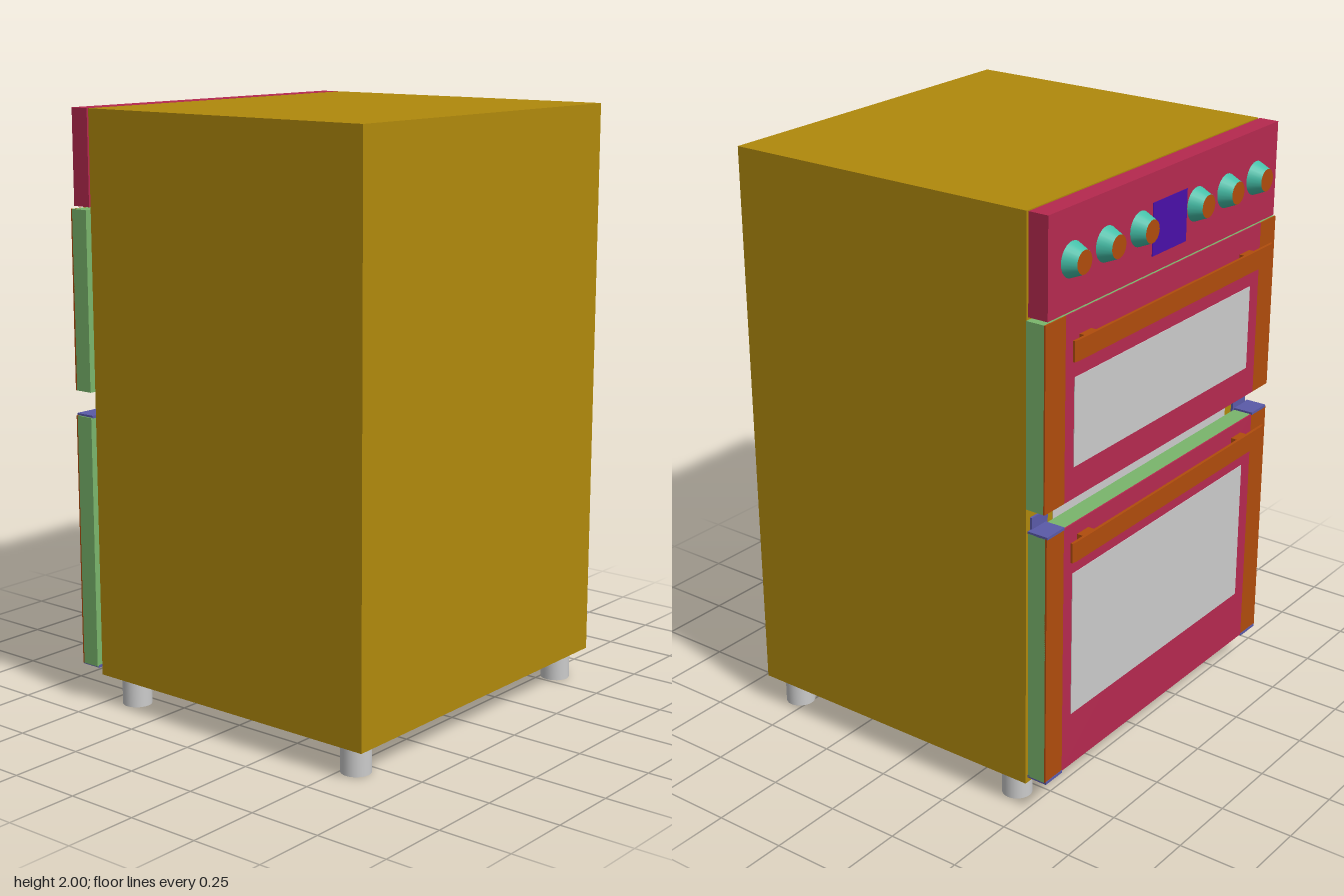
import * as THREE from 'three';

const mat = (color) => new THREE.MeshStandardMaterial({ color });
const M = {
  grey: mat(0xcccccc), body: mat(0xb0890c), crimson: mat(0xb5294f), green: mat(0x7ab56c),
  brown: mat(0xb04c0c), teal: mat(0x45bfa8), violet: mat(0x4a10a8), blue: mat(0x5a5aa8),
};

// Box given by its limits on each axis
function box(parent, name, material, [x0, x1], [y0, y1], [z0, z1]) {
  const mesh = new THREE.Mesh(new THREE.BoxGeometry(x1 - x0, y1 - y0, z1 - z0), material);
  mesh.position.set((x0 + x1) / 2, (y0 + y1) / 2, (z0 + z1) / 2);
  mesh.name = name;
  parent.add(mesh);
  return mesh;
}

function group(parent, name) {
  const g = new THREE.Group();
  g.name = name;
  parent.add(g);
  return g;
}

// Flat bar on two posts, standing off the door
function handle(parent, y) {
  const g = group(parent, 'handle');
  const outline = new THREE.Shape([
    [-0.61, -0.557], [-0.617, -0.557], [-0.62, -0.54], [-0.62, 0.55], [-0.617, 0.567], [-0.61, 0.567],
  ].map(([x, z]) => new THREE.Vector2(x, -z)));
  const geo = new THREE.ExtrudeGeometry(outline, { depth: 0.066, bevelEnabled: false });
  geo.rotateX(-Math.PI / 2);
  const bar = new THREE.Mesh(geo, M.brown);
  bar.name = 'handleBar';
  bar.position.y = y - 0.033;
  g.add(bar);
  for (const s of [-1, 1]) {
    const z = 0.005 + s * 0.451;
    box(g, 'handlePost', M.brown, [-0.612, -0.573], [y - 0.022, y + 0.022], [z - 0.03, z + 0.03]);
  }
}

// Door: green core, brown side strips, crimson front and a grey window
function door(parent, name, [y0, y1], [z0, z1], win, handleY) {
  const g = group(parent, name);
  box(g, 'doorCore', M.green, [-0.571, -0.507], [y0, y1], [z0, z1]);
  box(g, 'doorFront', M.crimson, [-0.576, -0.57], [y0, y1], [-0.545, 0.555]);
  box(g, 'sideStrip', M.brown, [-0.576, -0.57], [y0, y1], [z0, -0.545]);
  box(g, 'sideStrip', M.brown, [-0.576, -0.57], [y0, y1], [0.555, z1]);
  box(g, 'window', M.grey, [-0.578, -0.574], win, [-0.5, 0.5]);
  box(g, 'innerGlass', M.grey, [-0.508, -0.505], win, [-0.5, 0.5]);
  handle(g, handleY);
  return g;
}

export function createModel() {
  const model = new THREE.Group();
  model.name = 'doubleOven';

  // Cabinet and the grey frame behind the doors
  box(model, 'cabinet', M.body, [-0.5, 0.62], [0.1, 2], [-0.635, 0.635]);
  box(model, 'ovenFrame', M.grey, [-0.503, -0.499], [0.2, 1.62], [-0.5, 0.5]);

  // Feet
  for (const x of [-0.41, 0.54]) for (const z of [-0.56, 0.56]) {
    const foot = new THREE.Mesh(new THREE.CylinderGeometry(0.05, 0.05, 0.1, 24), M.grey);
    foot.name = 'foot';
    foot.position.set(x, 0.05, z);
    model.add(foot);
  }

  // Control panel with display and knobs
  const panel = group(model, 'controlPanel');
  box(panel, 'panelBoard', M.crimson, [-0.576, -0.507], [1.683, 2], [-0.635, 0.635]);
  box(panel, 'display', M.violet, [-0.578, -0.574], [1.735, 1.905], [-0.1, 0.09]);
  for (const z of [-0.517, -0.343, -0.165, 0.15, 0.326, 0.504]) {
    const geo = new THREE.CylinderGeometry(0.037, 0.057, 0.046, 24);
    geo.rotateZ(Math.PI / 2);
    const knob = new THREE.Mesh(geo, [M.teal, M.brown, M.teal]);
    knob.name = 'knob';
    knob.position.set(-0.597, 1.84, z);
    panel.add(knob);
  }

  // Doors
  door(model, 'upperDoor', [1.075, 1.675], [-0.645, 0.65], [1.18, 1.47], 1.578);
  const lower = door(model, 'lowerDoor', [0.13, 0.99], [-0.633, 0.65], [0.32, 0.82], 0.925);

  // Corner caps on the lower door, hinges behind both doors
  for (const [z0, z1] of [[-0.633, -0.545], [0.555, 0.645]]) {
    for (const y of [0.125, 0.988]) box(lower, 'cornerCap', M.blue, [-0.578, -0.505], [y, y + 0.009], [z0, z1]);
  }
  for (const z of [-0.575, 0.585]) {
    box(model, 'lowerHinge', M.blue, [-0.508, -0.499], [0.97, 1.035], [z - 0.04, z + 0.04]);
    box(model, 'upperHinge', M.brown, [-0.511, -0.499], [1.08, 1.17], [z - 0.02, z + 0.02]);
  }
  return model;
}
